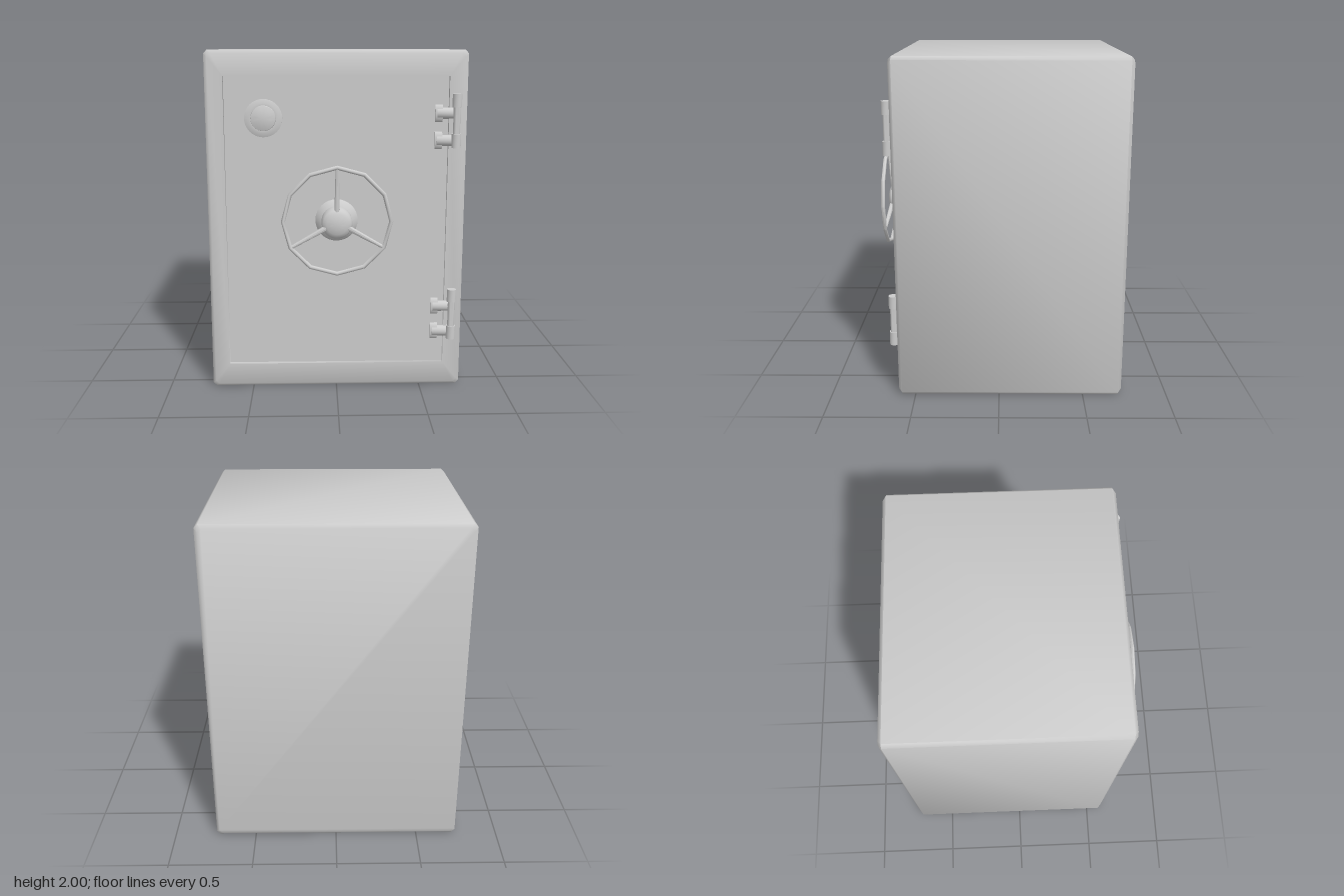
import * as THREE from 'three';
import { toCreasedNormals } from 'three/addons/utils/BufferGeometryUtils.js';

const steel = new THREE.MeshStandardMaterial({ color: 0xcccccc });
steel.name = 'steel grey';

function part(name, geometry, parent, crease = 0.9) {
  const mesh = new THREE.Mesh(toCreasedNormals(geometry, crease), steel);
  mesh.name = name;
  parent.add(mesh);
  return mesh;
}

// Skin through rectangular loops [halfWidth, halfHeight, z, cornerCut], from back to front
function rectLoft(loops, cy) {
  const pos = [], index = [], n = 8;
  for (const [w, h, z, c] of loops) {
    const ring = [[w, c - h], [w, h - c], [w - c, h], [c - w, h], [-w, h - c], [-w, c - h], [c - w, -h], [w - c, -h]];
    for (const [x, y] of ring) pos.push(x, y + cy, z);
  }
  for (let l = 0; l < loops.length - 1; l++) {
    for (let i = 0; i < n; i++) {
      const a = l * n + i, b = l * n + (i + 1) % n;
      index.push(a, b, b + n, a, b + n, a + n);
    }
  }
  const last = (loops.length - 1) * n;
  for (let i = 1; i < n - 1; i++) {
    index.push(0, i + 1, i);
    index.push(last, last + i, last + i + 1);
  }
  const g = new THREE.BufferGeometry();
  g.setAttribute('position', new THREE.Float32BufferAttribute(pos, 3));
  g.setIndex(index);
  return g;
}

// Turned part whose axis points forward; profile is [radius, z]
function turned(profile, segments) {
  const g = new THREE.LatheGeometry(profile.map(([r, z]) => new THREE.Vector2(r, z)), segments);
  return g.rotateX(Math.PI / 2);
}

function addHinge(parent, y) {
  const hinge = new THREE.Group();
  hinge.name = 'hinge';
  hinge.position.y = y;
  parent.add(hinge);

  // Upright barrel with two knuckles
  for (const [r, y0, y1] of [[0.02, 0.07, 0.24], [0.027, 0.23, 0.305], [0.027, 0, 0.08]]) {
    const g = new THREE.CylinderGeometry(r, r, y1 - y0, 16);
    part('hingeBarrel', g, hinge).position.set(0.68, (y0 + y1) / 2, 0.623);
  }
  // Flattened arms reaching over the door, with end clamps
  for (const armY of [0.195, 0.04]) {
    for (const [r, x0, x1, depth] of [[0.032, 0.57, 0.68, 0.03], [0.051, 0.56, 0.602, 0.022]]) {
      const g = new THREE.CylinderGeometry(r, r, x1 - x0, 16).rotateZ(Math.PI / 2);
      g.scale(1, 1, depth / r);
      part('hingeArm', g, hinge).position.set((x0 + x1) / 2, armY, 0.595);
    }
  }
}

export function createModel() {
  const model = new THREE.Group();
  model.name = 'safe';

  // Chamfered cabinet with a shallow door recess
  part('cabinet', rectLoft([
    [0.725, 0.98, -0.73, 0.02], [0.745, 1, -0.71, 0.02],
    [0.745, 1, 0.58, 0.02], [0.725, 0.98, 0.6, 0.02],
    [0.64, 0.855, 0.6, 0.001], [0.64, 0.855, 0.575, 0.001],
  ].map(([w, h, z, c]) => [w, h, z, c]), 1), model);

  const door = new THREE.Group();
  door.name = 'door';
  model.add(door);
  part('doorPanel', new THREE.BoxGeometry(1.272, 1.702, 0.022), door).position.set(0, 1.005, 0.586);

  // Combination dial
  const dial = part('dial', turned([
    [0.05, 0.59], [0.05, 0.607], [0.108, 0.607], [0.108, 0.612], [0.085, 0.62],
    [0.072, 0.62], [0.07, 0.632], [0.045, 0.64], [0, 0.643],
  ], 32), door);
  dial.position.set(-0.415, 1.62, 0);

  // Flared wheel hub with a domed cap
  const wheel = new THREE.Group();
  wheel.name = 'handwheel';
  wheel.position.set(0, 1.027, 0);
  door.add(wheel);
  part('wheelHub', turned([
    [0.125, 0.59], [0.122, 0.602], [0.088, 0.622], [0.088, 0.695],
    [0.08, 0.708], [0.06, 0.718], [0.032, 0.725], [0, 0.727],
  ], 32), wheel);

  // Twelve-sided rim
  const rim = part('wheelRim', new THREE.TorusGeometry(0.307, 0.012, 8, 12), wheel);
  rim.position.set(0, 0.019, 0.72);

  // Three tapered spokes
  for (let i = 0; i < 3; i++) {
    const a = Math.PI / 2 + i * Math.PI * 2 / 3;
    const from = new THREE.Vector3(Math.cos(a) * 0.06, Math.sin(a) * 0.06 + 0.012, 0.698);
    const to = new THREE.Vector3(Math.cos(a) * 0.303, Math.sin(a) * 0.303 + 0.019, 0.719);
    const dir = to.clone().sub(from);
    const spoke = part('wheelSpoke', new THREE.CylinderGeometry(0.01, 0.016, dir.length(), 10), wheel);
    spoke.position.copy(from).add(to).multiplyScalar(0.5);
    spoke.quaternion.setFromUnitVectors(new THREE.Vector3(0, 1, 0), dir.normalize());
  }

  for (const y of [1.45, 0.305]) addHinge(model, y);
  return model;
}
